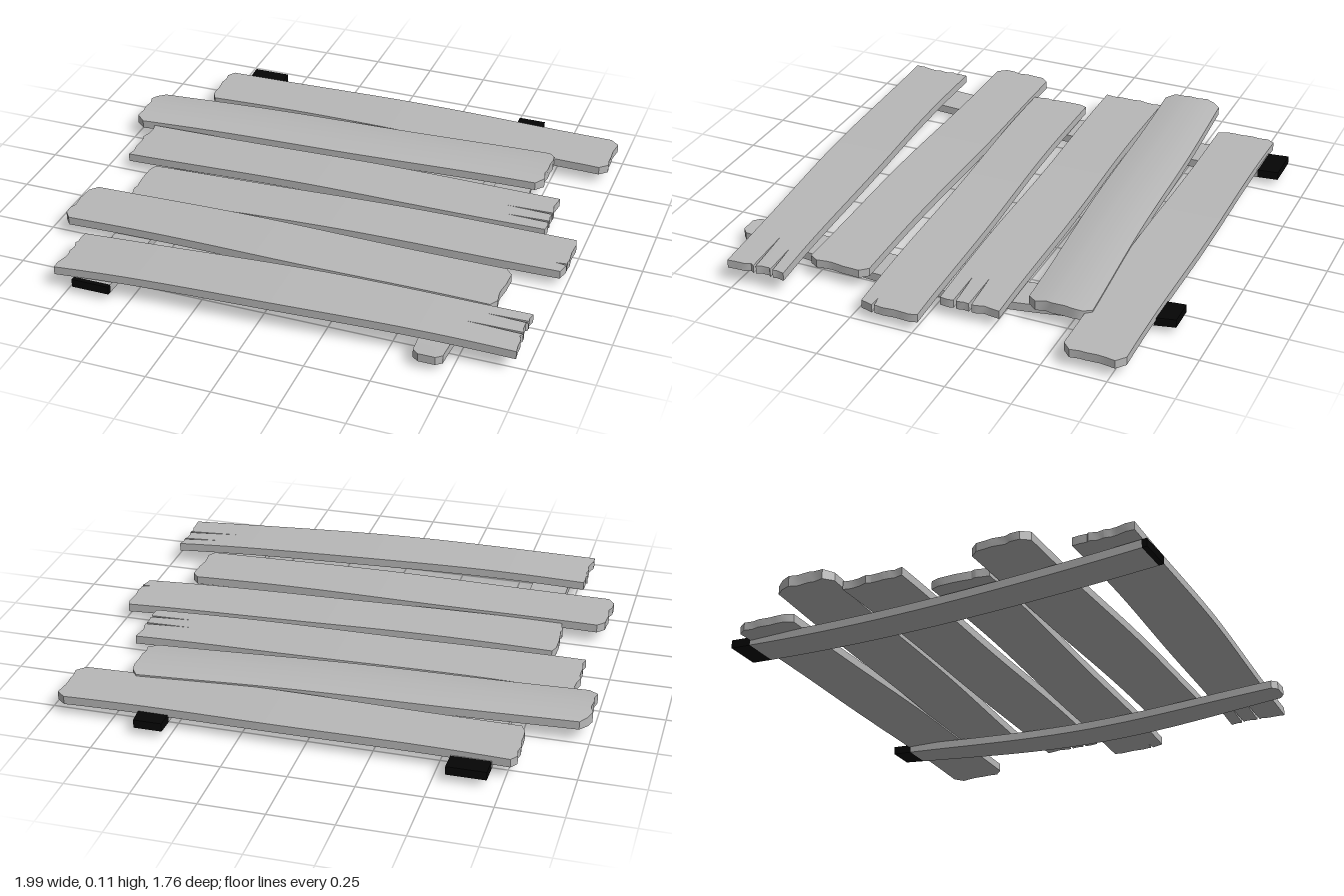
import * as THREE from 'three';
import { toCreasedNormals } from 'three/addons/utils/BufferGeometryUtils.js';

let seed = 7;
const rand = () => (seed = (seed * 16807) % 2147483647) / 2147483647;

// Rough board along x. rows: [v across the board, left end, right end]; a row pulled
// inward makes a split. back(x), front(x): edge lines. base(x): underside height.
function board({ rows, back, front, base, thick, crown = 0 }) {
  const N = 20, R = rows.length;
  const lo = Math.min(...rows.map(r => r[1])), hi = Math.max(...rows.map(r => r[2]));
  const pos = [], idx = [];
  for (const up of [1, 0])
    for (const [v, x0, x1] of rows)
      for (let j = 0; j <= N; j++) {
        const x = THREE.MathUtils.clamp(lo + (hi - lo) * j / N, x0, x1);
        pos.push(x, base(x) + up * (thick + crown * 4 * v * (1 - v)),
          THREE.MathUtils.lerp(back(x), front(x), v));
      }
  const T = (i, j) => i * (N + 1) + j, B = (i, j) => T(i, j) + R * (N + 1);
  const same = (a, b) => [0, 1, 2].every(k => Math.abs(pos[a * 3 + k] - pos[b * 3 + k]) < 1e-6);
  const tri = (a, b, c) => { if (!same(a, b) && !same(b, c) && !same(a, c)) idx.push(a, b, c); };
  const quad = (a, b, c, d) => { tri(a, b, c); tri(a, c, d); };
  // top, underside and the two ends
  for (let i = 0; i < R - 1; i++) {
    for (let j = 0; j < N; j++) {
      quad(T(i, j), T(i + 1, j), T(i + 1, j + 1), T(i, j + 1));
      quad(B(i, j), B(i, j + 1), B(i + 1, j + 1), B(i + 1, j));
    }
    quad(T(i, 0), B(i, 0), B(i + 1, 0), T(i + 1, 0));
    quad(T(i, N), T(i + 1, N), B(i + 1, N), B(i, N));
  }
  // long edges
  for (let j = 0; j < N; j++) {
    quad(T(0, j), T(0, j + 1), B(0, j + 1), B(0, j));
    quad(T(R - 1, j), B(R - 1, j), B(R - 1, j + 1), T(R - 1, j + 1));
  }
  const g = new THREE.BufferGeometry();
  g.setAttribute('position', new THREE.Float32BufferAttribute(pos, 3));
  g.setIndex(idx);
  return toCreasedNormals(g, 0.6);
}

// Straight line from (x0, z0) to (x1, z1) with a slight waviness
function edge(x0, x1, [z0, z1], wave) {
  const phase = rand() * 6;
  return x => z0 + (z1 - z0) * (x - x0) / (x1 - x0) + wave * Math.sin(x * 5 + phase);
}

// Plank with ragged ends; round pulls the corners in, splits are [v, depth] at the right end
function plank({ x: [x0, x1], back, front, y, bow, crown, round, splits = [] }) {
  const rows = [0, 0.13, 0.27, 0.4, 0.6, 0.7, 0.86, 1].map(v => {
    const pull = v === 0 || v === 1 ? round : 0;
    return [v, x0 + pull + rand() * 0.015, x1 - pull - rand() * 0.015];
  });
  for (const [v, depth] of splits)
    for (const k of [-1, 0, 1]) rows.push([v + k * 0.022, x0 + 0.008, x1 - (k ? 0.005 : depth)]);
  rows.sort((a, b) => a[0] - b[0]);
  const mid = (x0 + x1) / 2;
  return board({
    rows, crown, thick: 0.033,
    back: edge(x0, x1, back, 0.004), front: edge(x0, x1, front, 0.004),
    base: x => y + bow * (1 - ((x - mid) / 0.9) ** 2),
  });
}

export function createModel() {
  const group = new THREE.Group();
  const wood = new THREE.MeshStandardMaterial({ color: 0xb8b8b8 });
  wood.name = 'grey wood';
  const dark = new THREE.MeshStandardMaterial({ color: 0x050505 });
  dark.name = 'black end';
  const add = (name, geometry, material) => {
    const mesh = new THREE.Mesh(geometry, material);
    mesh.name = name;
    group.add(mesh);
  };

  // Planks from back to front; back and front hold z at the left and right ends
  [
    { x: [-0.79, 0.975], back: [-0.8, -0.8], front: [-0.56, -0.56], y: 0.042, bow: 0.01, round: 0.025 },
    { x: [-1, 0.765], back: [-0.495, -0.585], front: [-0.25, -0.34], y: 0.053, bow: 0.006, crown: 0.012, round: 0.03 },
    { x: [-0.91, 0.855], back: [-0.25, -0.28], front: [-0.005, -0.04], y: 0.042, bow: 0.008, round: 0, splits: [[0.49, 0.19], [0.75, 0.18]] },
    { x: [-0.78, 0.995], back: [0.045, -0.02], front: [0.28, 0.21], y: 0.038, bow: 0.012, round: 0.01, splits: [[0.77, 0.05]] },
    { x: [-0.94, 0.82], back: [0.28, 0.28], front: [0.525, 0.525], y: 0.048, bow: 0.008, round: 0.025 },
    { x: [-0.8, 0.965], back: [0.625, 0.54], front: [0.87, 0.78], y: 0.06, bow: 0.02, round: 0, splits: [[0.22, 0.16], [0.52, 0.22]] },
  ].forEach((p, i) => add(`plank${i + 1}`, plank(p), wood));

  // Cross beams, built along x and turned: s runs from the front end to the back end,
  // centre and width give the beam's x position and size
  const beam = (name, material, s0, s1, centre, width, taper = 0) => {
    const g = board({
      rows: [[0, s0 + taper, s1], [0.2, s0, s1], [0.8, s0, s1], [1, s0 + taper, s1]],
      back: s => centre(s) - width(s) / 2,
      front: s => centre(s) + width(s) / 2,
      base: s => 0.03 * (s / 0.88) ** 2,
      thick: 0.033,
    });
    add(name, g.rotateY(Math.PI / 2), material);
  };
  const right = [s => -0.635 + 0.012 * Math.sin(s * 2), () => 0.15];
  const left = [s => 0.645 - 0.05 * s + 0.025 * Math.cos(s * 3.5), s => 0.155 - 0.06 * s * s];
  beam('rightBeam', wood, -0.86, 0.8, ...right);
  beam('rightBeamFrontEnd', dark, -0.88, -0.86, ...right);
  beam('rightBeamBackEnd', dark, 0.8, 0.885, ...right);
  beam('leftBeam', wood, -0.87, 0.79, ...left, 0.02);
  beam('leftBeamBackEnd', dark, 0.79, 0.87, ...left);
  return group;
}
